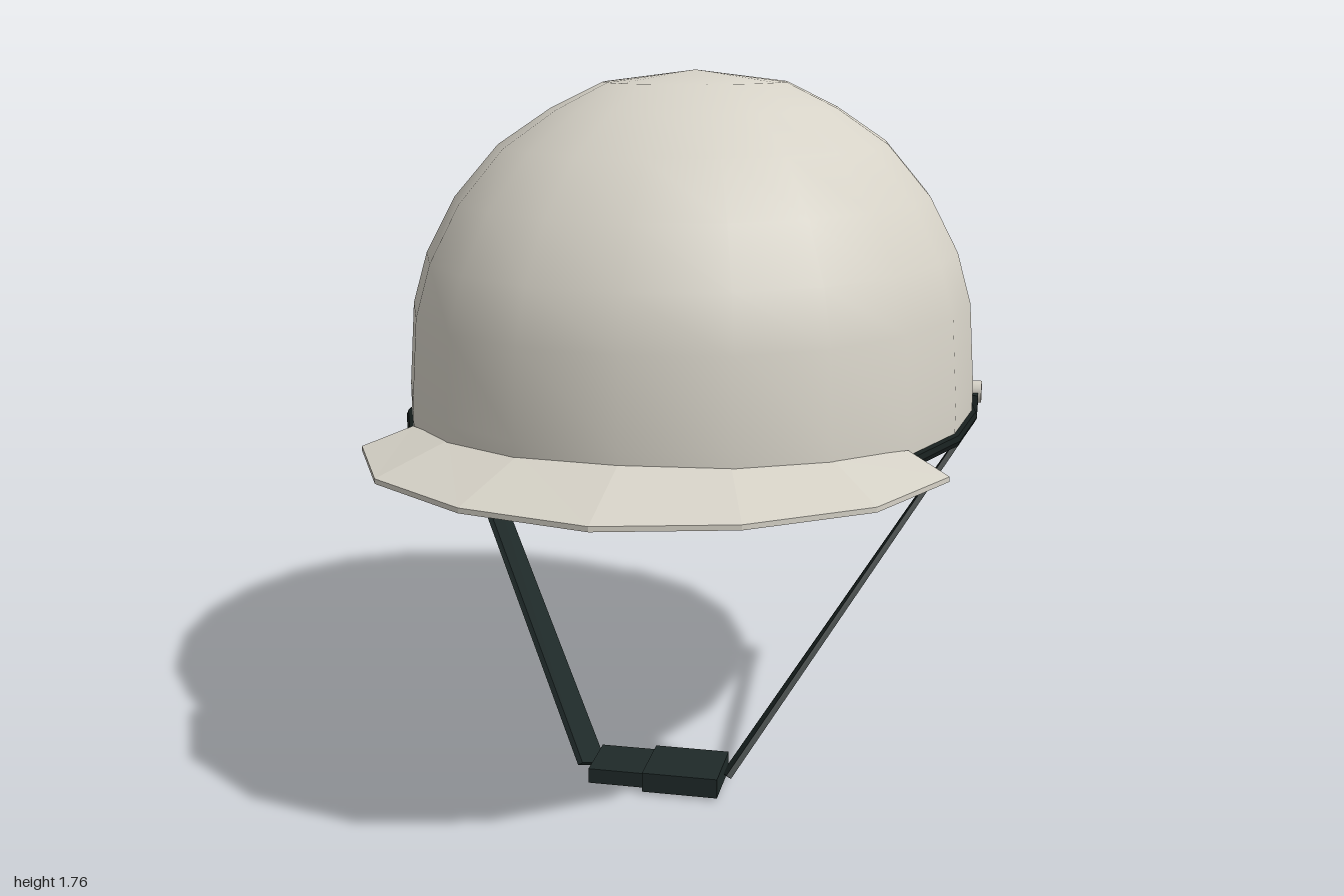
import * as THREE from 'three';
import { mergeVertices } from 'three/addons/utils/BufferGeometryUtils.js';

const mat = (name, color, opts = {}) => {
  const m = new THREE.MeshStandardMaterial({ color, ...opts });
  m.name = name;
  return m;
};

// Turn a profile of [radius, y] around an egg-shaped plan (radius 1 = rim of the shell)
function ovalLathe(profile, smooth) {
  let geo = new THREE.LatheGeometry(profile.map(([r, y]) => new THREE.Vector2(r, y)), 20);
  const p = geo.attributes.position;
  for (let i = 0; i < p.count; i++) {
    const x = p.getX(i), z = p.getZ(i), r = Math.hypot(x, z);
    const s = r > 1e-6 ? x / r : 0;
    p.setX(i, 0.735 * r * Math.sign(s) * Math.abs(s) ** 0.92);
    p.setZ(i, -0.12 + 0.868 * z);
  }
  geo.deleteAttribute('uv');
  geo.deleteAttribute('normal');
  geo = smooth ? mergeVertices(geo, 1e-4) : geo.toNonIndexed();
  geo.computeVertexNormals();
  return geo;
}

// Closed ring profile, counter-clockwise
const ringProfile = (r, y, radius, sides) =>
  Array.from({ length: sides + 1 }, (_, i) => {
    const a = (i / sides) * Math.PI * 2;
    return [r + (radius / 0.8) * Math.cos(a), y + radius * Math.sin(a)];
  });

// Skin four-cornered sections into a capped solid with hard edges
function loft(sections) {
  const out = [];
  const tri = (...pts) => pts.forEach((q) => out.push(...q));
  const quad = (a, b, c, d) => { tri(a, b, c); tri(a, c, d); };
  for (let i = 0; i < sections.length - 1; i++) {
    const s = sections[i], t = sections[i + 1];
    for (let j = 0; j < 4; j++) {
      const k = (j + 1) % 4;
      quad(s[j], s[k], t[k], t[j]);
    }
  }
  const first = sections[0], last = sections[sections.length - 1];
  quad(first[3], first[2], first[1], first[0]);
  quad(last[0], last[1], last[2], last[3]);
  const geo = new THREE.BufferGeometry();
  geo.setAttribute('position', new THREE.Float32BufferAttribute(out, 3));
  geo.computeVertexNormals();
  return geo;
}

export function createModel() {
  const group = new THREE.Group();
  group.name = 'helmet';
  const cream = mat('cream shell', 0xd6d2c7);
  const creamFlat = cream;
  const black = mat('black rubber', 0x161e1d);
  const webbing = mat('dark webbing', 0x1f2a29);
  const lining = mat('blue grey lining', 0x898e9a);
  const edging = mat('dark lining edge', 0x34363d);

  const add = (name, geo, material, x = 0, y = 0, z = 0) => {
    const mesh = new THREE.Mesh(geo, material);
    mesh.name = name;
    mesh.position.set(x, y, z);
    group.add(mesh);
    return mesh;
  };

  // Smooth outer dome
  add('shell', ovalLathe([
    [1, 0.882], [1, 0.97], [0.98, 1.18], [0.93, 1.31], [0.83, 1.45],
    [0.68, 1.58], [0.5, 1.67], [0.32, 1.735], [0, 1.765],
  ], true), cream);

  // Flat underside, rim trim, padded inside
  add('underside', ovalLathe([[0.72, 0.882], [1, 0.882]], false), creamFlat);
  add('rimTrim', ovalLathe(ringProfile(0.997, 0.883, 0.018, 8), false), black);
  add('liningEdge', ovalLathe(ringProfile(0.72, 0.882, 0.011, 6), false), edging);
  add('lining', ovalLathe([
    [0, 1.5], [0.25, 1.46], [0.45, 1.36], [0.6, 1.21], [0.69, 1.04], [0.72, 0.882],
  ], true), lining);

  // Visor: inner and outer edge points from the middle to the left end
  const half = [
    { inner: [0, 0.942, 0.735], outer: [0, 0.876, 1.0] },
    { inner: [0.24, 0.938, 0.69], outer: [0.305, 0.876, 0.925] },
    { inner: [0.45, 0.93, 0.57], outer: [0.565, 0.877, 0.745] },
    { inner: [0.605, 0.915, 0.395], outer: [0.705, 0.88, 0.48] },
  ];
  const flip = ([x, y, z]) => [-x, y, z];
  const lower = ([x, y, z]) => [x, y - 0.012, z];
  const columns = [
    ...half.slice(1).reverse().map((c) => ({ inner: flip(c.inner), outer: flip(c.outer) })),
    ...half,
  ];
  add('visor', loft(columns.map((c) =>
    [c.inner, c.outer, lower(c.outer), lower(c.inner)])), cream);

  // Chin straps with rivets on both sides
  const strapPath = [
    { front: [0.74, 0.92, -0.205], back: [0.74, 0.92, -0.33], n: [1, 0] },
    { front: [0.74, 0.86, -0.205], back: [0.733, 0.828, -0.33], n: [0.95, -0.3] },
    { front: [0.19, 0.06, 0.405], back: [0.158, 0.01, 0.29], n: [0.82, -0.57] },
  ];
  const thick = 0.007;
  for (const side of [1, -1]) {
    const label = side > 0 ? 'left' : 'right';
    const sections = strapPath.map(({ front, back, n }) => {
      const move = (q, k) => [side * (q[0] + n[0] * k), q[1] + n[1] * k, q[2]];
      const loop = [move(front, thick), move(front, -thick), move(back, -thick), move(back, thick)];
      return side > 0 ? loop : loop.reverse();
    });
    add(label + 'Strap', loft(sections), webbing);

    const rivet = new THREE.CylinderGeometry(0.03, 0.03, 0.028, 12);
    rivet.rotateZ(Math.PI / 2);
    add(label + 'Rivet', rivet, cream, side * 0.741, 0.918, -0.268);
  }

  // Two-part buckle under the chin
  add('buckleSocket', new THREE.BoxGeometry(0.19, 0.05, 0.165), webbing, 0.07, 0.037, 0.347);
  add('buckleClip', new THREE.BoxGeometry(0.14, 0.038, 0.145), webbing, -0.095, 0.037, 0.347);

  // Stand the lowest strap corner on the ground
  const box = new THREE.Box3().setFromObject(group);
  group.children.forEach((m) => { m.position.y -= box.min.y; });
  return group;
}
